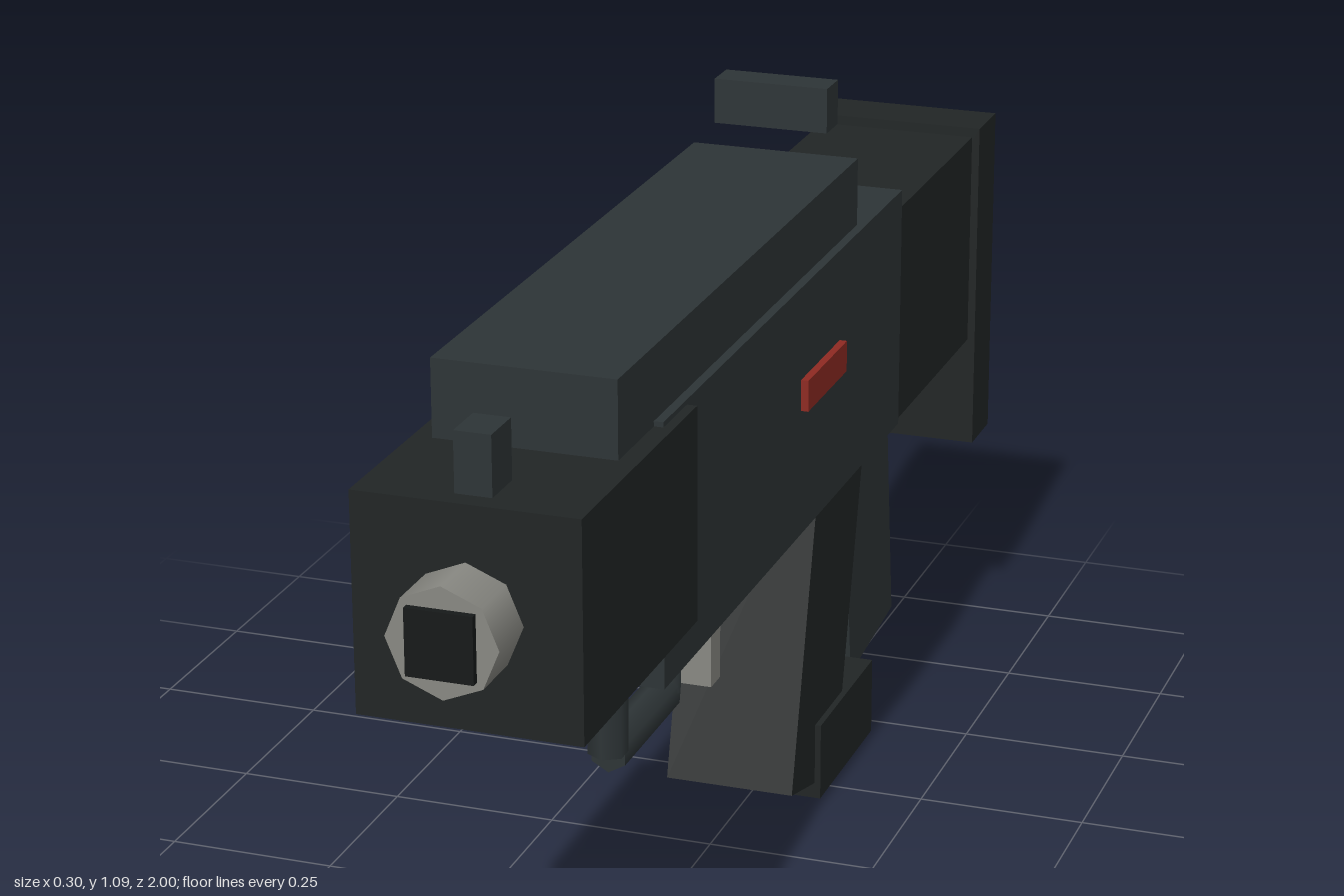
import * as THREE from 'three';

const material = (color) => new THREE.MeshStandardMaterial({ color });

export function createModel() {
  const model = new THREE.Group();
  const body = material(0x2d3436);
  const dark = material(0x212525);
  const black = material(0x161919);
  const metal = material(0x888882);
  const red = material(0x8e2a22);

  const add = (name, geometry, mat, x, y, z, tilt = 0) => {
    const mesh = new THREE.Mesh(geometry, mat);
    mesh.name = name;
    mesh.position.set(x, y, z);
    mesh.rotation.x = tilt;
    model.add(mesh);
    return mesh;
  };
  // Upright box centred on x, given its width and its y and z ranges
  const block = (name, mat, width, y0, y1, z0, z1, x = 0) =>
    add(name, new THREE.BoxGeometry(width, y1 - y0, z1 - z0), mat, x, (y0 + y1) / 2, (z0 + z1) / 2);

  // Main body
  block('receiver', body, 0.276, 0.51, 0.88, -0.475, 0.58);
  block('handguard', dark, 0.304, 0.573, 0.873, 0.49, 0.91);
  block('topRail', body, 0.25, 0.87, 0.98, -0.29, 0.71);
  block('stock', dark, 0.25, 0.502, 0.84, -0.91, -0.47);
  block('buttPlate', dark, 0.274, 0.326, 0.855, -1, -0.906);

  // Sights
  block('frontSight', body, 0.05, 0.86, 0.955, 0.815, 0.88);
  block('rearSight', body, 0.17, 1.02, 1.086, -0.318, -0.266);

  // Muzzle with a square bore
  add('muzzle', new THREE.CylinderGeometry(0.075, 0.075, 0.12, 8), metal, 0, 0.722, 0.93, Math.PI / 2);
  block('bore', black, 0.09, 0.677, 0.767, 0.9, 1);

  // Side switch
  block('sideSwitch', red, 0.03, 0.698, 0.744, -0.17, 0.01, 0.134);

  // Slanted grip with its foot, and the magazine behind it
  add('grip', new THREE.BoxGeometry(0.196, 0.55, 0.222), dark, 0, 0.292, -0.262, -0.25);
  block('gripFoot', dark, 0.214, 0, 0.12, -0.46, -0.198);
  add('magazine', new THREE.BoxGeometry(0.12, 0.5, 0.222), body, 0, 0.335, -0.58, 0.12);

  // Trigger and its guard of six-sided rods
  block('trigger', metal, 0.046, 0.28, 0.425, 0.022, 0.062);
  const rod = (length) => new THREE.CylinderGeometry(0.03, 0.03, length, 6);
  add('guardFrontPost', rod(0.3), body, -0.114, 0.332, 0.12);
  add('guardBottom', rod(0.24), body, -0.114, 0.18, 0, Math.PI / 2);
  add('guardRearPost', rod(0.3), body, -0.114, 0.327, -0.15, -0.2);

  return model;
}
